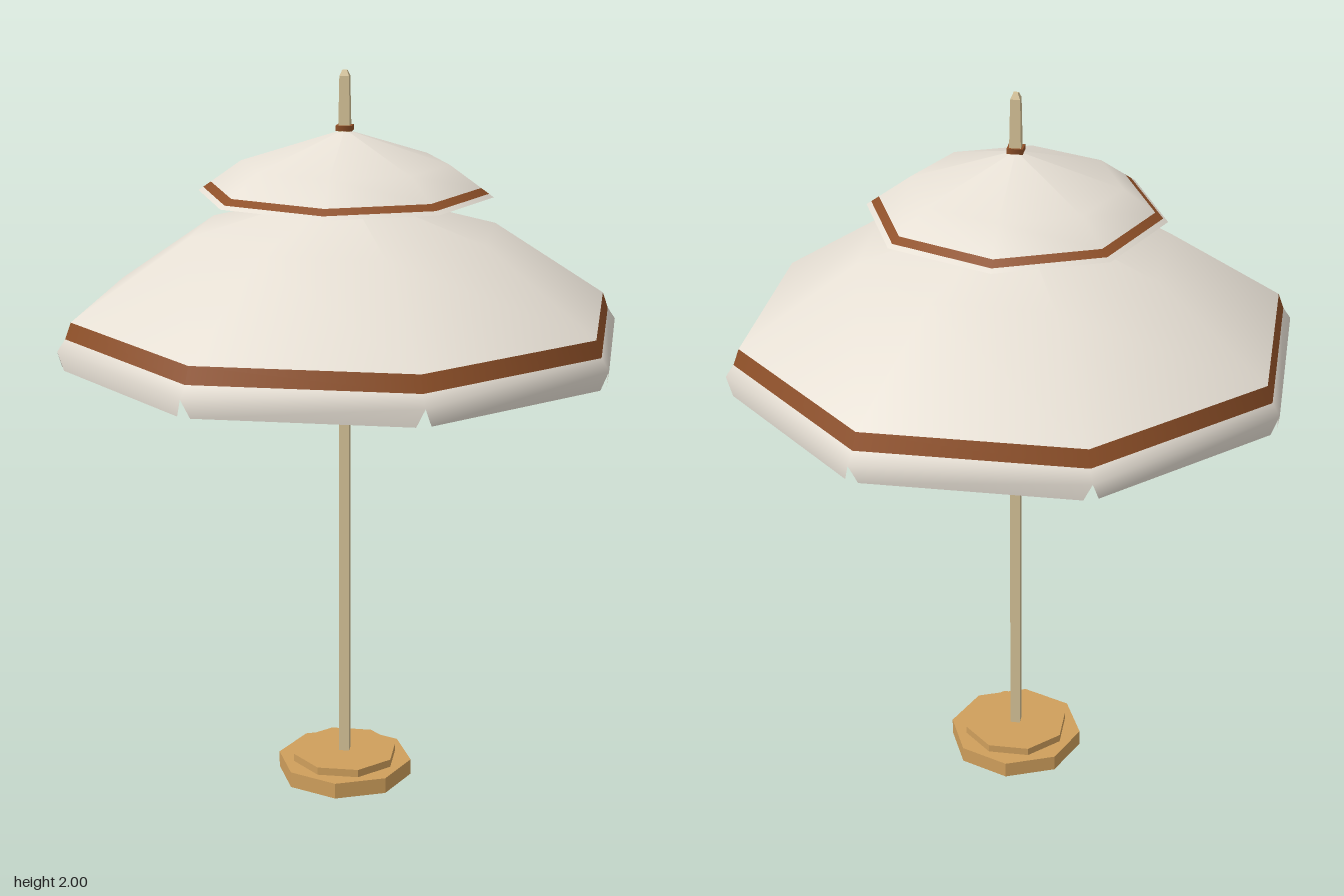
import * as THREE from 'three';

const SIDES = 8;
const canvas = new THREE.MeshStandardMaterial({ color: 0xe6dfd4, side: THREE.DoubleSide });
canvas.name = 'cream canvas';
const trim = new THREE.MeshStandardMaterial({ color: 0x8f5028, side: THREE.DoubleSide });
trim.name = 'brown trim';
const pole = new THREE.MeshStandardMaterial({ color: 0xd4c196, flatShading: true });
pole.name = 'pale pole wood';
const wood = new THREE.MeshStandardMaterial({ color: 0xcf9f5c, flatShading: true });
wood.name = 'base wood';

function add(group, name, geometry, material, y = 0) {
  const mesh = new THREE.Mesh(geometry, material);
  mesh.name = name;
  mesh.position.y = y;
  group.add(mesh);
  return mesh;
}

// Eight-sided band turned from [radius, height] points, listed bottom to top
function band(points, turn) {
  return new THREE.LatheGeometry(points.map(([r, y]) => new THREE.Vector2(r, y)), SIDES, turn);
}

// Hanging valance: full strip on top, panels parted by a V-notch at each corner
function valance(turn) {
  const pos = [], index = [];
  const corner = (i, r) => {
    const a = turn + (i * 2 * Math.PI) / SIDES;
    return new THREE.Vector3(r * Math.sin(a), 0, r * Math.cos(a));
  };
  const put = (v, y) => pos.push(v.x, y, v.z);
  for (let i = 0; i < SIDES; i++) put(corner(i, 0.757), 1.32);
  for (let i = 0; i < SIDES; i++) put(corner(i, 0.779), 1.288);
  for (let i = 0; i < SIDES; i++) {
    const a = corner(i, 0.773), b = corner(i + 1, 0.773);
    put(a.clone().lerp(b, 0.035), 1.24);
    put(a.clone().lerp(b, 0.965), 1.24);
  }
  const quad = (a, b, c, d) => index.push(a, b, c, a, c, d);
  for (let i = 0; i < SIDES; i++) {
    const j = (i + 1) % SIDES;
    quad(SIDES + i, SIDES + j, j, i);
    quad(2 * SIDES + 2 * i, 2 * SIDES + 2 * i + 1, SIDES + j, SIDES + i);
  }
  const g = new THREE.BufferGeometry();
  g.setAttribute('position', new THREE.Float32BufferAttribute(pos, 3));
  g.setIndex(index);
  g.computeVertexNormals();
  return g;
}

export function createModel() {
  const model = new THREE.Group();
  model.name = 'parasol';

  // Stepped octagonal base
  const base = new THREE.Group();
  base.name = 'base';
  add(base, 'baseSlab', new THREE.CylinderGeometry(0.19, 0.19, 0.045, SIDES), wood, 0.0225);
  add(base, 'baseStep', new THREE.CylinderGeometry(0.15, 0.15, 0.022, SIDES), wood, 0.056)
    .rotation.y = Math.PI / SIDES;
  model.add(base);

  // Square pole, collar and finial
  add(model, 'pole', new THREE.CylinderGeometry(0.02, 0.02, 1.8, 4), pole, 0.945);
  add(model, 'collar', new THREE.CylinderGeometry(0.03, 0.03, 0.014, 4), trim, 1.849);
  add(model, 'finialShaft', new THREE.CylinderGeometry(0.018, 0.022, 0.145, 4), pole, 1.9125);
  add(model, 'finialTip', new THREE.CylinderGeometry(0.009, 0.018, 0.015, 4), pole, 1.9925);

  // Main canopy, flat sides facing the axes
  const main = new THREE.Group();
  main.name = 'mainCanopy';
  const turn = Math.PI / SIDES;
  add(main, 'mainDome', band([[0.741, 1.364], [0.422, 1.575], [0, 1.69]], turn), canvas);
  add(main, 'mainStripe', band([[0.757, 1.32], [0.741, 1.364]], turn), trim);
  add(main, 'valance', valance(turn), canvas);
  model.add(main);

  // Small upper canopy, corners on the axes
  const top = new THREE.Group();
  top.name = 'topCanopy';
  add(top, 'topRim', band([[0.397, 1.673], [0.384, 1.682]], 0), canvas);
  add(top, 'topStripe', band([[0.384, 1.682], [0.363, 1.697]], 0), trim);
  add(top, 'topDome', band([[0.363, 1.697], [0.28, 1.756], [0, 1.845]], 0), canvas);
  model.add(top);

  return model;
}
